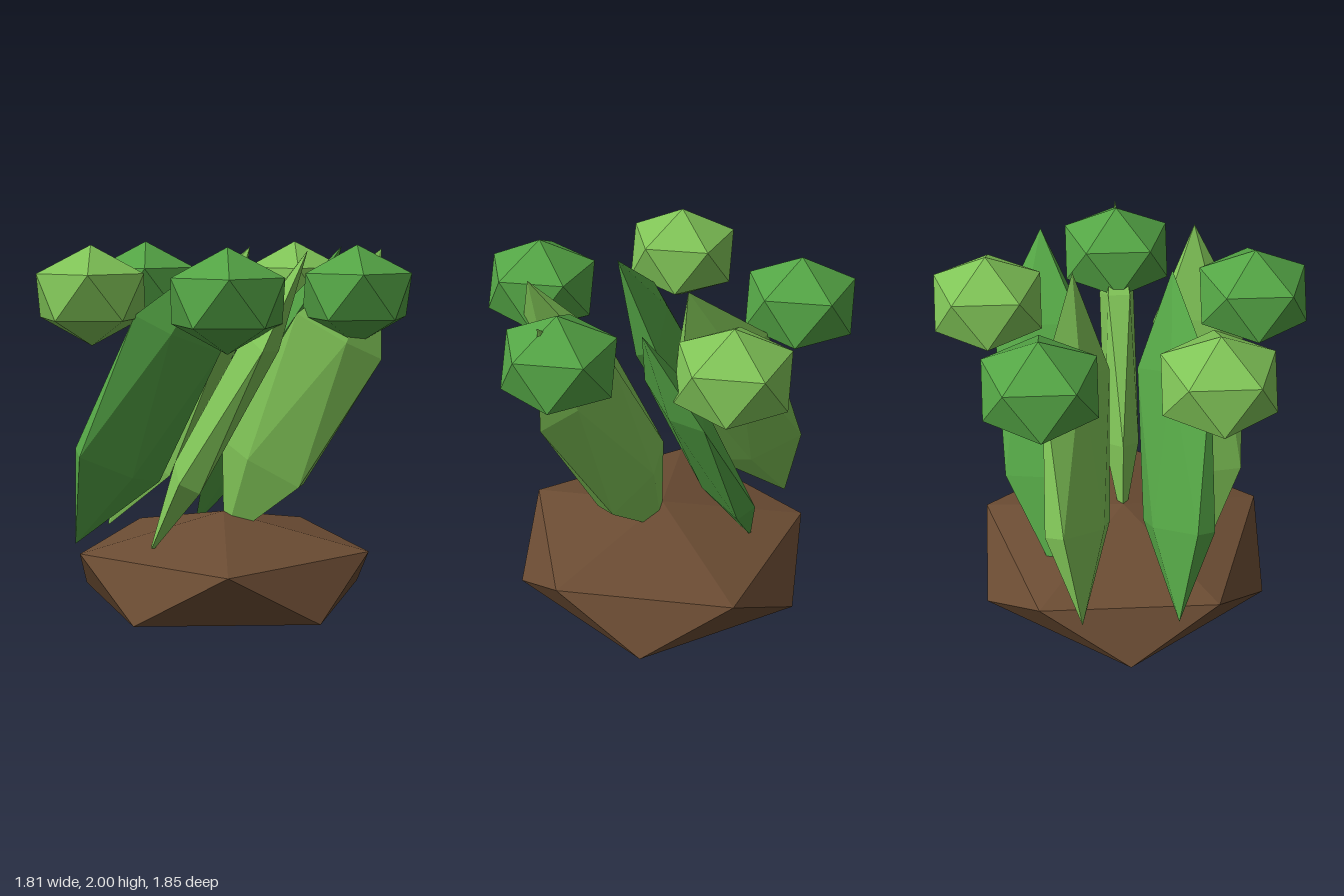
import * as THREE from 'three';

// Icosahedron standing on a vertex, with an upper-ring vertex towards +x
function crystal(rx, ry, rz) {
  const geo = new THREE.IcosahedronGeometry(1, 0);
  geo.rotateX(-Math.atan2((1 + Math.sqrt(5)) / 2, 1));
  geo.rotateY(Math.PI / 2);
  geo.scale(rx, ry, rz);
  geo.computeVertexNormals(); // non-indexed, so faces stay flat
  return geo;
}

function flat(name, color) {
  const material = new THREE.MeshStandardMaterial({ color });
  material.name = name;
  material.flatShading = true;
  return material;
}

export function createModel() {
  const group = new THREE.Group();
  group.name = 'plant';
  const soil = flat('soilBrown', 0x6b4c33);
  const light = flat('lightGreen', 0x80c457);
  const dark = flat('darkGreen', 0x54a545);

  function add(name, geo, material, x, y, z) {
    const mesh = new THREE.Mesh(geo, material);
    mesh.name = name;
    mesh.position.set(x, y, z);
    group.add(mesh);
    return mesh;
  }

  const cx = -0.067; // axis of the plant
  const tilt = -0.486; // every leaf leans the same way

  // Squashed mound of soil
  add('soilMound', crystal(0.867, 0.305, 0.867), soil, cx, 0.305, 0);

  // Ring of five flat leaves, each with a round bud outside it
  const leafGeo = crystal(0.297, 0.872, 0.106);
  const budGeo = crystal(0.31, 0.25, 0.31);
  const leafIsLight = [true, true, false, true, false];
  leafIsLight.forEach((isLight, i) => {
    const a = (i * Math.PI * 2) / 5;
    const c = Math.cos(a), s = Math.sin(a);
    const leaf = add('leaf' + (i + 1), leafGeo, isLight ? light : dark, cx + 0.41 * c, 1.21, 0.41 * s);
    leaf.rotation.set(0, -a, tilt, 'ZYX');
    add('bud' + (i + 1), budGeo, isLight ? dark : light, cx + 0.695 * c, 1.75, 0.695 * s);
  });

  return group;
}
